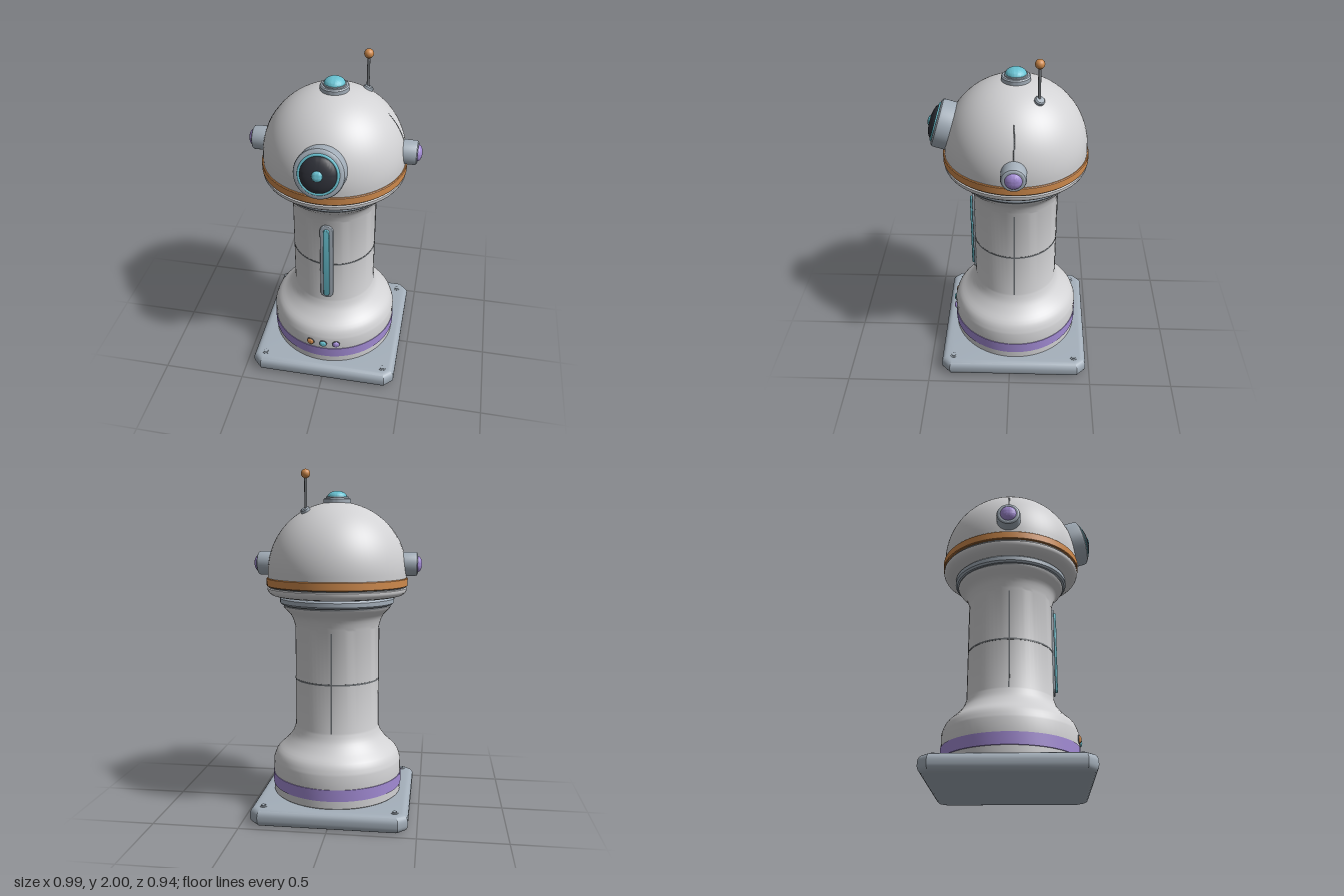
import * as THREE from 'three';
import { toCreasedNormals } from 'three/addons/utils/BufferGeometryUtils.js';

const mat = (name, color) => {
  const m = new THREE.MeshStandardMaterial({ color });
  m.name = name;
  return m;
};

export function createModel() {
  const shell = mat('shell', 0xd2d2d4);
  const grey = mat('blueGrey', 0xa3aeb9);
  const dark = mat('lensBlack', 0x2e3038);
  const seamGrey = mat('seamGrey', 0x707478);
  const cyan = mat('cyan', 0x69c3d3);
  const orange = mat('orange', 0xcf8a4c);
  const purple = mat('purple', 0xa28bd4);

  const model = new THREE.Group();
  model.name = 'robotPillar';
  const core = new THREE.Group(); // everything is centred on the pillar axis
  core.name = 'core';
  core.position.z = -0.025;
  model.add(core);

  const add = (name, geo, material, parent = core) => {
    const m = new THREE.Mesh(geo, material);
    m.name = name;
    parent.add(m);
    return m;
  };
  // Turned part from [radius, height] pairs, listed bottom to top
  const turned = (name, pts, material, parent = core, seg = 64) => add(name,
    toCreasedNormals(new THREE.LatheGeometry(pts.map(p => new THREE.Vector2(p[0], p[1])), seg), 0.5),
    material, parent);
  // Elliptical cap profile
  const cap = (r, h, y = 0, n = 10) => Array.from({ length: n + 1 }, (_, i) => {
    const a = i / n * Math.PI / 2;
    return [i === n ? 0 : r * Math.cos(a), y + h * Math.sin(a)];
  });
  // Smooth run of profile points
  const smooth = (pts, n = 14) => new THREE.SplineCurve(pts.map(p => new THREE.Vector2(...p)))
    .getPoints(n).map(v => [v.x, v.y]);
  // Group whose local y axis points along dir
  const mount = (name, pos, dir) => {
    const g = new THREE.Group();
    g.name = name;
    g.position.set(...pos);
    g.quaternion.setFromUnitVectors(new THREE.Vector3(0, 1, 0), new THREE.Vector3(...dir).normalize());
    core.add(g);
    return g;
  };

  // Base plate with clipped corners and rounded rim
  const h = 0.41, c = 0.03;
  const plate = new THREE.Shape([[-h + c, -h], [h - c, -h], [h, -h + c], [h, h - c],
    [h - c, h], [-h + c, h], [-h, h - c], [-h, -h + c]].map(p => new THREE.Vector2(...p)));
  const plateGeo = new THREE.ExtrudeGeometry(plate, {
    depth: 0.02, bevelEnabled: true, bevelThickness: 0.04, bevelSize: 0.04, bevelSegments: 5 });
  plateGeo.rotateX(-Math.PI / 2).translate(0, 0.045, 0);
  add('basePlate', toCreasedNormals(plateGeo, 0.5), grey);
  for (const x of [-0.375, 0.375]) for (const z of [-0.375, 0.375]) {
    const bolt = mount('bolt', [x, 0.1, z], [0, 1, 0]);
    turned('boltWasher', [[0.021, 0], [0.021, 0.008], [0, 0.008]], grey, bolt, 20);
    turned('boltHead', [[0.014, 0], [0.014, 0.014], [0, 0.014]], grey, bolt, 6);
  }

  // Pillar
  turned('foot', [[0.37, 0.1], [0.382, 0.11], [0.382, 0.155]], shell);
  turned('footBand', [[0.375, 0.152], [0.387, 0.155], [0.387, 0.222], [0.375, 0.225]], purple);
  turned('pillar', [[0.384, 0.222],
    ...smooth([[0.384, 0.3], [0.362, 0.355], [0.308, 0.407], [0.268, 0.458], [0.249, 0.51]]),
    ...smooth([[0.247, 1.1], [0.268, 1.165], [0.308, 1.21], [0.318, 1.225]])], shell);
  turned('neckGroove', [[0.29, 1.222], [0.315, 1.222], [0.315, 1.3]], seamGrey);
  turned('collar', [[0.3, 1.236], [0.326, 1.236], [0.336, 1.246], [0.336, 1.27], [0.326, 1.28], [0.3, 1.28]], grey);

  // Pillar seams
  turned('waistSeam', [[0.245, 0.788], [0.2495, 0.788], [0.2495, 0.798], [0.245, 0.798]], seamGrey);
  for (const a of [Math.PI / 2, -Math.PI / 2, Math.PI]) {
    const seam = add('pillarSeam', new THREE.BoxGeometry(0.008, 0.585, 0.01), seamGrey);
    seam.position.set(Math.sin(a) * 0.2455, 0.798, Math.cos(a) * 0.2455);
    seam.rotation.y = a;
  }

  // Front light strip
  const pill = (name, r, len, depth, z, material) => {
    const s = new THREE.Shape();
    s.absarc(0, len / 2, r, 0, Math.PI);
    s.absarc(0, -len / 2, r, Math.PI, Math.PI * 2);
    const b = 0.006;
    const g = new THREE.ExtrudeGeometry(s, { depth, bevelThickness: b, bevelSize: b, bevelOffset: -b, bevelSegments: 3, curveSegments: 16 });
    add(name, toCreasedNormals(g, 0.5), material).position.set(0, 0.81, z);
  };
  pill('stripHousing', 0.039, 0.47, 0.03, 0.222, grey);
  pill('lightStrip', 0.018, 0.465, 0.02, 0.246, cyan);

  // Status buttons around the foot
  [[-0.08, orange], [0, cyan], [0.08, purple]].forEach(([x, m]) => {
    const z = Math.sqrt(0.383 ** 2 - x * x);
    const b = mount('button', [x, 0.262, z], [x, 0, z]);
    turned('buttonBezel', [[0.025, -0.005], [0.025, 0.004], [0.02, 0.004]], seamGrey, b, 24);
    turned('buttonCap', cap(0.022, 0.014, 0.002, 6), m, b, 24);
  });

  // Head
  turned('headRim', [[0.25, 1.285], [0.36, 1.285], [0.385, 1.292], [0.402, 1.306], [0.408, 1.318], [0.408, 1.33], [0.4, 1.334]], shell);
  turned('headGroove', [[0.4, 1.33], [0.4, 1.35]], seamGrey);
  turned('headBand', [[0.395, 1.342], [0.409, 1.342], [0.413, 1.346], [0.413, 1.386], [0.409, 1.39], [0.395, 1.39]], orange);
  turned('dome', [[0.404, 1.385], ...cap(0.405, 0.405, 1.42, 32)], shell);
  for (const s of [0, Math.PI]) {
    const arc = add('domeSeam', new THREE.TorusGeometry(0.402, 0.005, 6, 24, 0.76), seamGrey);
    arc.position.y = 1.42;
    arc.rotation.y = s;
  }

  // Top beacon
  turned('beaconBase', [[0.08, 1.79], [0.08, 1.838], [0.074, 1.845], [0.064, 1.845], [0.064, 1.853], [0, 1.853]], grey);
  turned('beacon', cap(0.058, 0.036, 1.85), cyan);

  // Antenna
  const foot = mount('antennaFoot', [0.162, 1.768, -0.125], [0.162, 0.348, -0.125]);
  turned('antennaSocket', [[0.028, -0.01], [0.028, 0.014], [0.022, 0.02], [0, 0.02]], grey, foot, 24);
  add('antennaRod', new THREE.CylinderGeometry(0.008, 0.008, 0.2, 16), seamGrey).position.set(0.162, 1.865, -0.125);
  add('antennaBall', new THREE.SphereGeometry(0.026, 24, 16), orange).position.set(0.162, 1.977, -0.125);

  // Eye, tilted up and standing out of the dome
  const t = 0.295;
  const eye = mount('eye', [0, 1.42, 0], [0, Math.sin(t), Math.cos(t)]);
  turned('eyeHousing', [[0.1375, 0.33], [0.1375, 0.445], [0.134, 0.457], [0.125, 0.464], [0.114, 0.466], [0, 0.466]], grey, eye);
  const ring = add('eyeRing', new THREE.TorusGeometry(0.104, 0.008, 10, 64), cyan, eye);
  ring.rotation.x = Math.PI / 2;
  ring.position.y = 0.467;
  turned('eyeLens', cap(0.1, 0.036, 0.466), dark, eye);
  turned('pupil', [[0.029, 0.49], ...cap(0.029, 0.012, 0.5, 6)], cyan, eye, 32);

  // Ears
  for (const s of [-1, 1]) {
    const ear = mount(s > 0 ? 'leftEar' : 'rightEar', [0, 1.47, 0], [s, 0, 0]);
    turned('earHousing', [[0.069, 0.36], [0.069, 0.455], [0.065, 0.465], [0.056, 0.47], [0, 0.47]], grey, ear, 40);
    turned('earLight', cap(0.046, 0.025, 0.469), purple, ear, 40);
  }
  return model;
}
